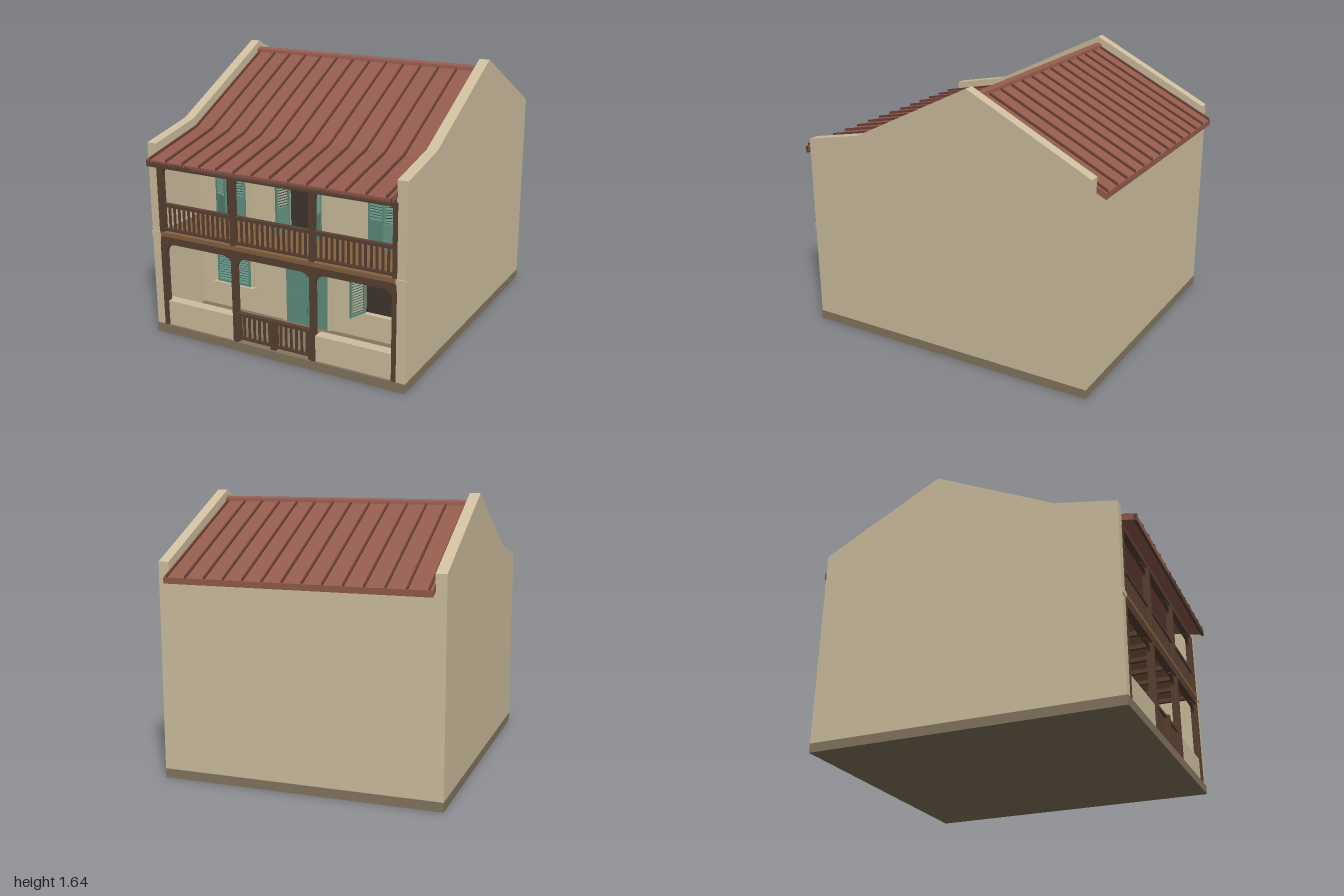
import * as THREE from 'three';

const mat = (name, color) => Object.assign(new THREE.MeshStandardMaterial({ color }), { name });

export function createModel() {
  const wall = mat('plaster', 0xcfbf9f);
  const stone = mat('plinth stone', 0x84765f);
  const roofRed = mat('roof metal', 0x935b4e);
  const seamRed = mat('roof seam', 0x6e4238);
  const timber = mat('dark timber', 0x5a4133);
  const deckWood = mat('deck wood', 0x85623f);
  const teal = mat('shutter green', 0x629080);
  const dark = mat('dark opening', 0x40362f);

  const model = new THREE.Group();
  model.name = 'galleryHouse';

  const add = (name, geo, material, parent = model) => {
    const m = new THREE.Mesh(geo, material);
    m.name = name;
    parent.add(m);
    return m;
  };
  // Box given by its limits on each axis
  const box = (name, material, x0, x1, y0, y1, z0, z1, parent = model) => {
    const m = add(name, new THREE.BoxGeometry(x1 - x0, y1 - y0, z1 - z0), material, parent);
    m.position.set((x0 + x1) / 2, (y0 + y1) / 2, (z0 + z1) / 2);
    return m;
  };
  // Side profile of [z, y] points, drawn out along x
  const profile = (name, material, pts, x0, x1) => {
    const shape = new THREE.Shape(pts.map(([z, y]) => new THREE.Vector2(-z, y)));
    const geo = new THREE.ExtrudeGeometry(shape, { depth: x1 - x0, bevelEnabled: false });
    geo.rotateY(Math.PI / 2).translate(x0, 0, 0);
    return add(name, geo, material);
  };

  const FACE = 0.52;   // front of the recessed facade
  const GROUND = 0.055;
  const POST_Z = 0.89;

  // Plinth, house body and gabled side walls
  box('plinth', stone, -0.835, 0.835, 0, GROUND, -0.945, 0.92);
  profile('houseBody', wall,
    [[FACE, GROUND], [FACE, 1.185], [-0.2, 1.55], [-0.945, 1.18], [-0.945, GROUND]], -0.773, 0.773);
  for (const s of [-1, 1]) {
    const xs = [s * 0.772, s * 0.835].sort((a, b) => a - b);
    profile('gableWall', wall,
      [[0.915, GROUND], [0.915, 1.195], [0.55, 1.27], [-0.2, 1.645], [-0.945, 1.27], [-0.945, GROUND]], ...xs);
    box('wallBand', wall, ...xs, 0.625, 0.655, 0.9, 0.922);
  }

  // Roof sheet, standing seams and ridge cap
  const top = [[1, 1.12], [0.55, 1.215], [-0.2, 1.585], [-1, 1.19]];
  const offset = (d) => top.map(([z, y]) => [z, y + d]);
  const sheet = (a, b) => [...offset(b), ...offset(a).reverse()];
  profile('roof', roofRed, sheet(-0.035, 0), -0.776, 0.776);
  for (let i = 0; i < 14; i++) {
    const x = -0.755 + i * (1.51 / 13);
    profile('roofSeam', seamRed, sheet(-0.005, 0.014), x - 0.005, x + 0.005);
  }
  profile('ridgeCap', roofRed,
    [[-0.17, 1.575], [-0.175, 1.595], [-0.2, 1.606], [-0.225, 1.595], [-0.23, 1.575]], -0.774, 0.774);
  box('frontFascia', timber, -0.78, 0.78, 1.08, 1.12, 0.985, 1);

  // Upper gallery floor and beams
  box('galleryDeck', deckWood, -0.776, 0.776, 0.63, 0.655, FACE, 0.92);
  box('lowerBeam', timber, -0.776, 0.776, 0.585, 0.63, 0.87, 0.916);
  box('upperBeam', timber, -0.776, 0.776, 1.072, 1.11, 0.87, 0.91);
  for (let i = 0; i < 9; i++) {
    const x = -0.7 + i * 0.175;
    box('floorJoist', timber, x - 0.012, x + 0.012, 0.605, 0.63, FACE, 0.88);
  }

  // Posts with curved brackets
  const bracketShape = new THREE.Shape();
  bracketShape.moveTo(0, 0);
  bracketShape.lineTo(0, -0.065);
  bracketShape.quadraticCurveTo(0.012, -0.012, 0.075, -0.008);
  bracketShape.lineTo(0.075, 0);
  const bracketGeo = new THREE.ExtrudeGeometry(bracketShape, { depth: 0.02, bevelEnabled: false, curveSegments: 8 });
  bracketGeo.translate(0, 0, -0.01);
  const postX = [-0.765, -0.26, 0.26, 0.765];
  for (const [y0, y1] of [[GROUND, 0.587], [0.655, 1.075]]) {
    postX.forEach((x, i) => {
      box('galleryPost', timber, x - 0.014, x + 0.014, y0, y1, POST_Z - 0.014, POST_Z + 0.027);
      for (const s of [-1, 1]) {
        if ((i === 0 && s < 0) || (i === 3 && s > 0)) continue;
        const b = add('postBracket', bracketGeo, timber);
        b.position.set(x + s * 0.013, y1, POST_Z);
        if (s < 0) b.rotation.y = Math.PI;
      }
    });
  }

  // Balustrades: rails with evenly spaced balusters
  const railing = (name, x0, x1, y0, y1, count) => {
    const g = new THREE.Group();
    g.name = name;
    model.add(g);
    box('topRail', timber, x0, x1, y1 - 0.018, y1, POST_Z - 0.014, POST_Z + 0.016, g);
    box('bottomRail', timber, x0, x1, y0, y0 + 0.014, POST_Z - 0.01, POST_Z + 0.01, g);
    for (let i = 1; i <= count; i++) {
      const x = x0 + ((x1 - x0) * i) / (count + 1);
      box('baluster', timber, x - 0.006, x + 0.006, y0, y1 - 0.01, POST_Z - 0.006, POST_Z + 0.006, g);
    }
  };
  for (let i = 0; i < 3; i++) railing('upperRailing', postX[i] + 0.014, postX[i + 1] - 0.014, 0.66, 0.83, 13);

  // Pair of entrance gates and the low plaster walls beside them
  for (const s of [-1, 1]) {
    railing('gateLeaf', s < 0 ? -0.246 : 0.004, s < 0 ? -0.004 : 0.246, 0.068, 0.237, 6);
    for (const x of [0.01, 0.24]) {
      box('gateStile', timber, s * x - 0.007, s * x + 0.007, 0.06, 0.24, POST_Z - 0.01, POST_Z + 0.028);
    }
    box('lowWall', wall, s * 0.52 - 0.246, s * 0.52 + 0.246, GROUND, 0.21, 0.84, 0.905);
  }

  // Louvred leaf hinged at the origin, reaching along +x or -x
  const leaf = (name, x, y0, y1, w, dir, angle, louvreFrom) => {
    const g = new THREE.Group();
    g.name = name;
    g.position.set(x, 0, FACE + 0.018);
    g.rotation.y = -dir * angle;
    model.add(g);
    const part = (n, a, b, c, d, t = 0.007) =>
      box(n, teal, Math.min(dir * a, dir * b), Math.max(dir * a, dir * b), c, d, -t, t, g);
    part('leafStile', 0, 0.011, y0, y1);
    part('leafStile', w - 0.011, w, y0, y1);
    part('leafRail', 0.011, w - 0.011, y1 - 0.014, y1);
    part('leafRail', 0.011, w - 0.011, louvreFrom - 0.014, louvreFrom);
    if (louvreFrom - y0 > 0.03) part('leafPanel', 0.011, w - 0.011, y0, louvreFrom - 0.014, 0.004);
    const n = Math.round((y1 - 0.014 - louvreFrom) / 0.0165);
    for (let i = 0; i < n; i++) {
      const y = louvreFrom + ((i + 0.5) * (y1 - 0.014 - louvreFrom)) / n;
      const slat = part('louvre', 0.011, w - 0.011, y - 0.0065, y + 0.0065, 0.0015);
      slat.rotation.x = -0.8;
    }
  };

  // Plaster surround with a dark pane behind
  const opening = (name, cx, w, y0, y1, trim = 0.022) => {
    const h = w / 2;
    box(name + 'Pane', dark, cx - h, cx + h, y0, y1, FACE - 0.005, FACE + 0.003);
    for (const s of [-1, 1]) {
      const e = cx + s * (h + trim / 2);
      box(name + 'Jamb', wall, e - trim / 2, e + trim / 2, y0, y1, FACE - 0.01, FACE + 0.014);
    }
    box(name + 'Lintel', wall, cx - h - trim, cx + h + trim, y1, y1 + trim, FACE - 0.01, FACE + 0.014);
  };

  // Ground floor windows: left pair closed, right pair swung open
  for (const [cx, a, b] of [[-0.52, 0, 0], [0.52, 1.92, 2.1]]) {
    opening('window', cx, 0.24, 0.23, 0.54);
    box('windowSill', wall, cx - 0.15, cx + 0.15, 0.212, 0.228, FACE - 0.01, FACE + 0.035);
    leaf('windowShutter', cx - 0.12, 0.23, 0.54, 0.118, 1, a, 0.246);
    leaf('windowShutter', cx + 0.12, 0.23, 0.54, 0.118, -1, b, 0.246);
  }

  // Solid double front door
  opening('frontDoor', 0, 0.29, GROUND, 0.525);
  for (const s of [-1, 1]) {
    const c = s * 0.073;
    box('doorLeaf', teal, c - 0.07, c + 0.07, GROUND, 0.523, FACE, FACE + 0.012);
    for (const [y0, y1] of [[0.09, 0.26], [0.29, 0.49]]) {
      box('doorPanel', teal, c - 0.045, c + 0.045, y0, y1, FACE + 0.01, FACE + 0.016);
    }
  }

  // Upper gallery doors: side pairs ajar, middle pair wide open
  for (const [cx, a, b] of [[-0.525, 0.4, 0.12], [0, 1.9, 1.8], [0.525, 0.12, 0.4]]) {
    opening('galleryDoor', cx, 0.21, 0.655, 1.09);
    leaf('galleryDoorLeaf', cx - 0.105, 0.658, 1.09, 0.104, 1, a, 0.815);
    leaf('galleryDoorLeaf', cx + 0.105, 0.658, 1.09, 0.104, -1, b, 0.815);
  }

  return model;
}
